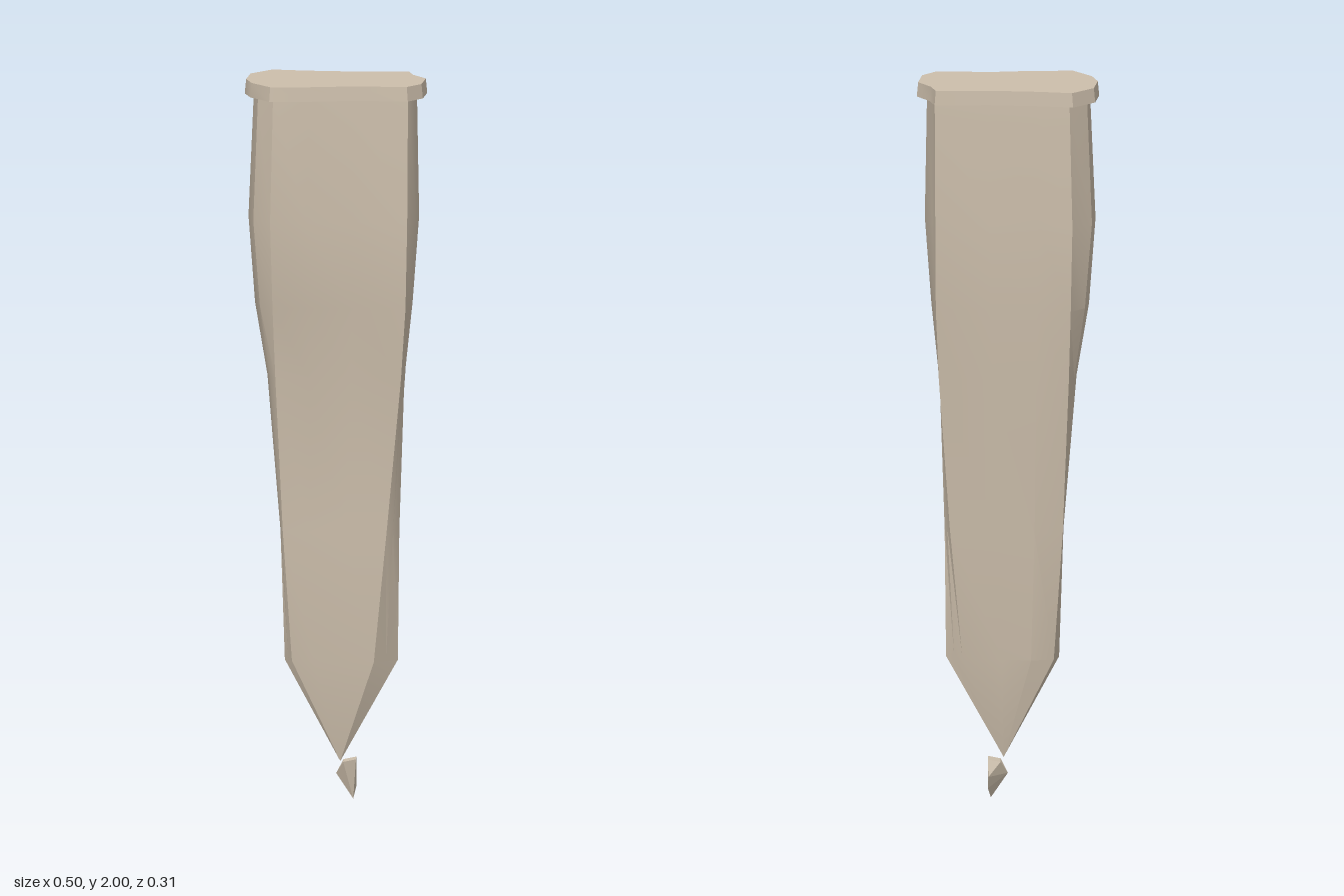
import * as THREE from 'three';
import { toCreasedNormals } from 'three/addons/utils/BufferGeometryUtils.js';
import { ConvexGeometry } from 'three/addons/geometries/ConvexGeometry.js';

// Skin between rings listed bottom to top, closed by a fan to a point at each end
function loft(rings, bottom, top) {
  const n = rings[0].length, pos = [...bottom], idx = [];
  rings.forEach((ring) => ring.forEach((p) => pos.push(...p)));
  pos.push(...top);
  const id = (r, i) => 1 + r * n + (i % n);
  const last = 1 + rings.length * n;
  for (let i = 0; i < n; i++) {
    idx.push(0, id(0, i), id(0, i + 1));
    idx.push(last, id(rings.length - 1, i + 1), id(rings.length - 1, i));
    for (let r = 0; r < rings.length - 1; r++) {
      const a = id(r, i), b = id(r, i + 1), c = id(r + 1, i), d = id(r + 1, i + 1);
      idx.push(a, c, d, a, d, b);
    }
  }
  const g = new THREE.BufferGeometry();
  g.setAttribute('position', new THREE.Float32BufferAttribute(pos, 3));
  g.setIndex(idx);
  return toCreasedNormals(g, 0.45);
}

// Clockwise from above, starting at the back corner on the -x side
const capOutline = [
  [-0.18, -0.16], [-0.09, -0.142], [0.05, -0.128], [0.2, -0.133], [0.213, -0.075],
  [0.25, -0.01], [0.24, 0.088], [0.2, 0.143], [0.05, 0.135], [-0.075, 0.153],
  [-0.18, 0.155], [-0.233, 0.08], [-0.25, 0.01], [-0.24, -0.088],
];

// Shaft levels: y, -x ridge, -x corner, +x corner, +x ridge, front z, back z, ridge z
const levels = [
  [0.39, -0.14, -0.12, 0.105, 0.17, 0.065, -0.047, 0.015],
  [0.75, -0.152, -0.145, 0.14, 0.174, 0.074, -0.078, 0.015],
  [1.18, -0.188, -0.165, 0.18, 0.188, 0.09, -0.11, 0.005],
  [1.38, -0.222, -0.172, 0.193, 0.21, 0.12, -0.126, 0],
  [1.62, -0.24, -0.178, 0.198, 0.228, 0.138, -0.14, 0],
  [1.97, -0.225, -0.17, 0.2, 0.222, 0.13, -0.135, 0],
];

function shaftRing([y, rl, cl, cr, rr, zf, zb, zr]) {
  const mix = THREE.MathUtils.lerp;
  const t = THREE.MathUtils.smoothstep(y, 0.6, 1.7); // 0 near the tip, 1 near the slab
  // x, front or back z, and how far out towards it: near the tip, near the slab
  const at = (x, z, low, high) => [x, y, mix(zr, z, mix(low, high, t))];
  const side = (corner, ridge, out, z, low, high) =>
    at(mix(corner, ridge, mix(0.5, out, t)), z, low, high);
  const across = (u) => mix(cl, cr, u);
  const backR = cr + 0.02 * (1 - t), backL = cl - 0.006 * (1 - t);
  return [
    at(backL, zb, 0.75, 1), at(across(0.25), zb, 1, 0.92),
    at(across(0.6), zb, 0.78, 0.83), at(backR, zb, 0.38, 0.74),
    side(backR, rr, 0.3, zb, 0.17, 0.4), [rr, y, zr], side(cr, rr, 0.8, zf, 0.5, 0.55),
    at(cr, zf, 1, 0.93), at(across(0.6), zf, 0.95, 0.88),
    at(across(0.27), zf, 0.78, 0.98), at(cl, zf, 0.5, 1),
    side(cl, rl, 0.76, zf, 0.25, 0.68), [rl, y, zr], side(backL, rl, 0.86, zb, 0.38, 0.55),
  ];
}

export function createModel() {
  const group = new THREE.Group();
  const stone = new THREE.MeshStandardMaterial({ color: 0xccbeab });
  stone.name = 'stone';
  const add = (name, geometry) => {
    const mesh = new THREE.Mesh(geometry, stone);
    mesh.name = name;
    group.add(mesh);
  };

  // Flat slab on top
  const capRing = (y, s) => capOutline.map(([x, z]) => [x * s, y, z * s]);
  add('topSlab', loft([capRing(1.96, 1), capRing(2, 0.985)], [0, 1.96, 0], [0, 2, 0]));

  // Tapering rock shaft
  add('shaft', loft(levels.map(shaftRing), [0.012, 0.108, 0.015], [0, 1.97, 0]));

  // Loose shard under the tip
  const shard = [
    [0, 0.07, -0.015], [0.02, 0.105, 0.01], [0.055, 0.112, 0.01], [0.055, 0.112, -0.04],
    [0.02, 0.105, -0.04], [0.053, 0.065, -0.052], [0.055, 0.03, -0.035], [0.047, 0, -0.01],
  ].map((p) => new THREE.Vector3(...p));
  add('shard', new ConvexGeometry(shard));

  return group;
}
